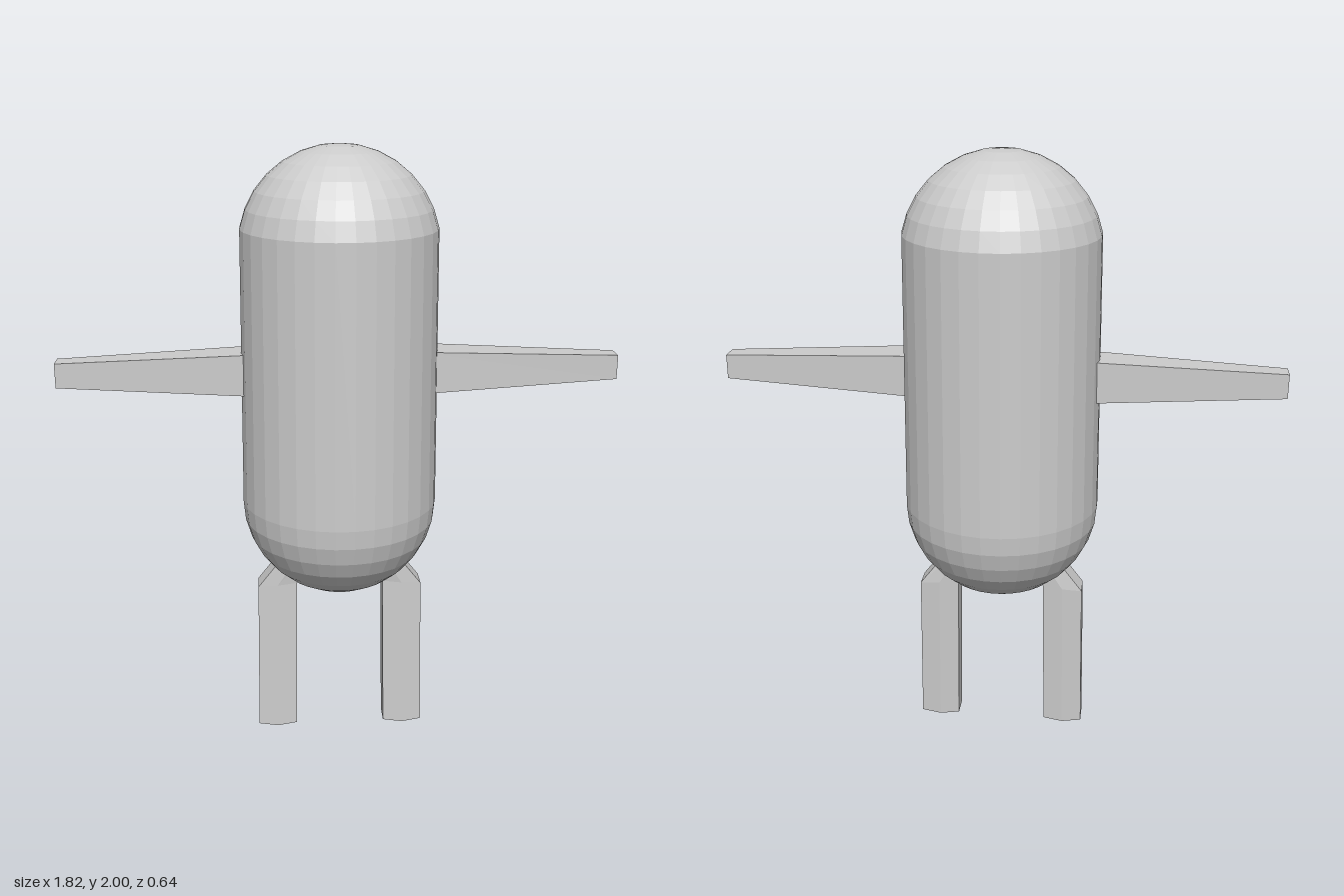
import * as THREE from 'three';

const material = new THREE.MeshStandardMaterial({ color: 0xcccccc, flatShading: true });

// Solid skin through equal-sized rings of points, with both ends capped.
// Rings run counter-clockwise seen from the last ring's end.
function loft(rings) {
  const n = rings[0].length;
  const index = [];
  for (let r = 0; r < rings.length - 1; r++) {
    for (let i = 0; i < n; i++) {
      const a = r * n + i, b = r * n + (i + 1) % n;
      index.push(a, b, b + n, a, b + n, a + n);
    }
  }
  const last = (rings.length - 1) * n;
  for (let i = 1; i < n - 1; i++) {
    index.push(0, i + 1, i, last, last + i, last + i + 1);
  }
  const geometry = new THREE.BufferGeometry();
  geometry.setAttribute('position', new THREE.Float32BufferAttribute(rings.flat(2), 3));
  geometry.setIndex(index);
  const flat = geometry.toNonIndexed();
  flat.computeVertexNormals();
  return flat;
}

// Capsule body: two domes joined by a very slightly tapered wall
function bodyGeometry() {
  const step = Math.PI / 16;
  const profile = [];
  for (let i = 0; i <= 8; i++) {
    const a = i * step;
    profile.push(new THREE.Vector2(0.322 * Math.sin(a), 0.842 - 0.322 * Math.cos(a)));
  }
  for (let i = 7; i >= 0; i--) {
    const a = i * step;
    profile.push(new THREE.Vector2(0.32 * Math.sin(a), 1.68 + 0.32 * Math.cos(a)));
  }
  return new THREE.LatheGeometry(profile, 32, Math.PI / 32);
}

// Square arm section at x
const armRing = (x, y, h, w) => [
  [x, y - h, -w], [x, y + h, -w], [x, y + h, w], [x, y - h, w],
];

// Six-sided leg section with a shallow ridge on front and back
const legRing = (x, y, z, tilt = 0, dip = 0) => [
  [x + 0.066, y + tilt, z + 0.038],
  [x + 0.066, y + tilt, z - 0.038],
  [x, y - dip, z - 0.044],
  [x - 0.066, y - tilt, z - 0.038],
  [x - 0.066, y - tilt, z + 0.038],
  [x, y - dip, z + 0.044],
];

export function createModel() {
  const model = new THREE.Group();
  const add = (name, geometry) => {
    const mesh = new THREE.Mesh(geometry, material);
    mesh.name = name;
    model.add(mesh);
  };

  add('body', bodyGeometry());

  for (const [side, s] of [['left', 1], ['right', -1]]) {
    // Mirror the points; reverse each ring so faces keep pointing outward
    const mirror = (rings) => rings.map((ring) => {
      const points = ring.map(([x, y, z]) => [x * s, y, z]);
      return s < 0 ? points.reverse() : points;
    });

    // Tapered arm straight out to the side
    add(side + 'Arm', loft(mirror([
      armRing(0.25, 1.282, 0.07, 0.066),
      armRing(0.91, 1.284, 0.04, 0.034),
    ])));

    // Leg with a bent hip tucked into the body and the foot set a little forward
    add(side + 'Leg', loft(mirror([
      legRing(0.219, 0.007, 0.009, 0, 0.007),
      legRing(0.212, 0.535, -0.004, -0.006),
      legRing(0.11, 0.69, 0, -0.03),
    ])));
  }
  return model;
}
